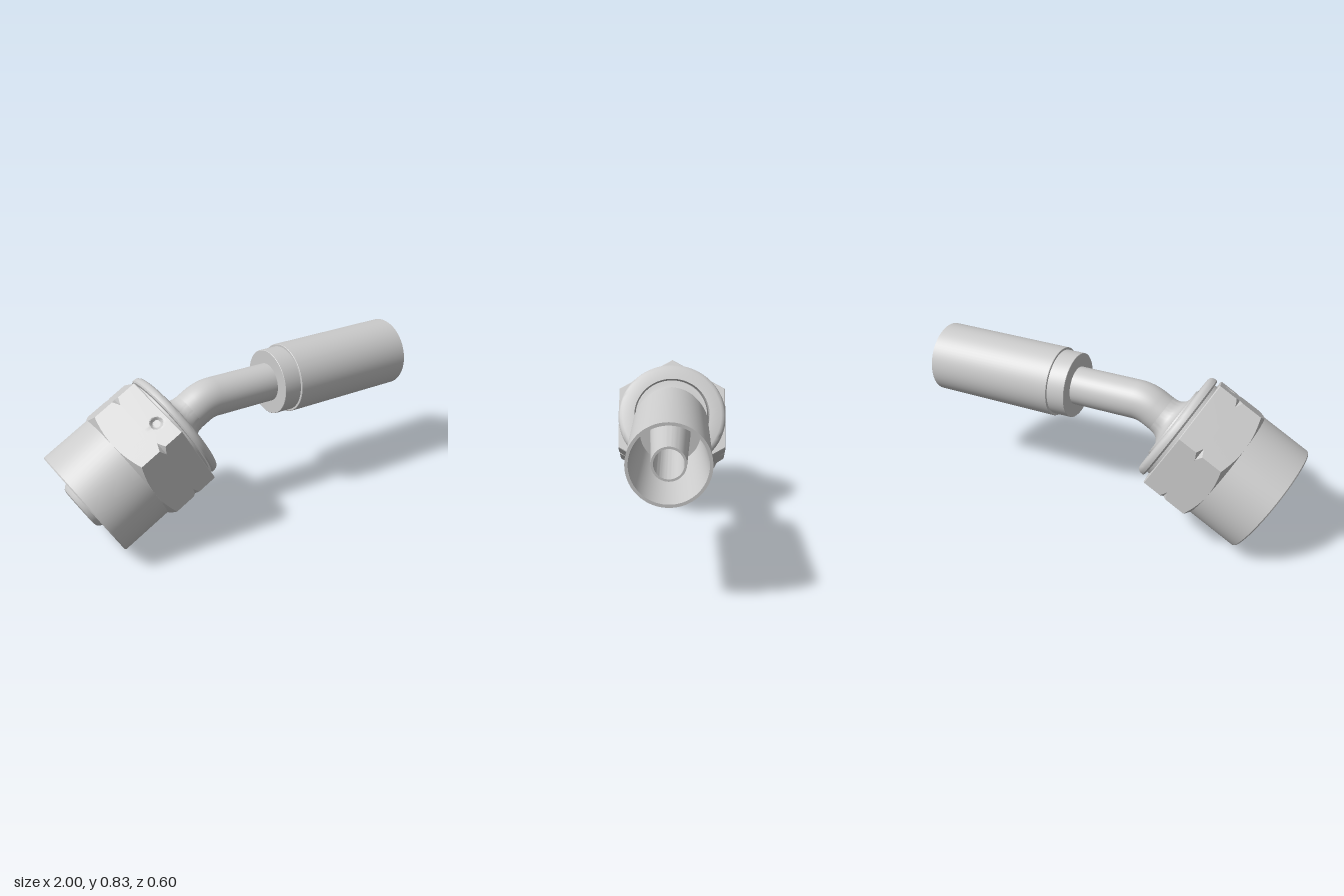
import * as THREE from 'three';
import { toCreasedNormals } from 'three/addons/utils/BufferGeometryUtils.js';

const material = new THREE.MeshStandardMaterial({ color: 0xcccccc, side: THREE.DoubleSide });
const CREASE = 0.5;
const TILT = Math.PI / 6;      // angle between nut axis and hose axis
const BORE = 0.065;

function add(parent, name, geometry) {
  const mesh = new THREE.Mesh(geometry, material);
  mesh.name = name;
  parent.add(mesh);
  return mesh;
}

// Turned part: [radius, distance along axis], outside going up then inside coming back
function turned(profile) {
  const points = profile.map(([r, t]) => new THREE.Vector2(r, t));
  return toCreasedNormals(new THREE.LatheGeometry(points, 72), CREASE);
}

// Hexagonal band: chamfered front corners, V groove nicking the corners, one dimple on a flat
function hexBand() {
  const columns = 360, flat = 0.3, groove = 0.43;
  const start = 0.27, end = 0.551, slope = 1.65, base = 0.292;
  const dimple = new THREE.Vector3(-0.235, 0.493, 0.2);
  const positions = [], index = [];
  let rows = 0;
  for (let i = 0; i <= columns; i++) {
    const a = (i / columns) * Math.PI * 2;
    const R = flat / Math.cos((a % (Math.PI / 3)) - Math.PI / 6);
    const cut = Math.max(0, R - 0.328);
    const profile = [
      [base, start], [R, start + (R - base) / slope],
      [R, groove - cut], [R - cut, groove], [R, groove + cut],
    ];
    for (let k = 0; k <= 16; k++) profile.push([R, 0.458 + k * 0.0045]);
    profile.push([R, end - 0.004], [R - 0.004, end], [0.26, end]);
    rows = profile.length;
    for (const [r, t] of profile) {
      const p = new THREE.Vector3(r * Math.cos(a), t, r * Math.sin(a));
      const depth = t < end - 0.006 ? Math.min(0.016, Math.max(0, 0.032 - p.distanceTo(dimple)) * 1.5) : 0;
      const k = 1 - depth / r;
      positions.push(p.x * k, p.y, p.z * k);
    }
  }
  for (let i = 0; i < columns; i++) {
    for (let j = 0; j < rows - 1; j++) {
      const p = i * rows + j, q = p + rows;
      index.push(p, p + 1, q, p + 1, q + 1, q);
    }
  }
  const geometry = new THREE.BufferGeometry();
  geometry.setAttribute('position', new THREE.Float32BufferAttribute(positions, 3));
  geometry.setIndex(index);
  return toCreasedNormals(geometry, CREASE);
}

export function createModel() {
  const group = new THREE.Group();
  group.name = 'angledHoseFitting';

  // Swivel nut and the stem nose, built along a tilted axis
  const tilted = new THREE.Group();
  tilted.name = 'swivelEnd';
  tilted.position.set(-0.85, 0.26, 0);
  tilted.rotation.z = TILT - Math.PI / 2;
  group.add(tilted);

  add(tilted, 'nutBody', turned([
    [0.27, 0], [0.295, 0], [0.3, 0.006], [0.3, 0.276], [0.275, 0.276],
    [0.275, 0.566], [0.294, 0.568], [0.3, 0.575], [0.3, 0.588], [0.296, 0.6],
    [0.288, 0.608], [0.275, 0.612], [0.21, 0.612], [0.21, 0.5], [0.25, 0.45],
    [0.25, 0.025], [0.27, 0],
  ]));
  add(tilted, 'nutHex', hexBand());
  add(tilted, 'stemNose', turned([
    [BORE, -0.03], [0.1, -0.03], [0.117, -0.025], [0.129, -0.012], [0.14, 0.012],
    [0.19, 0.11], [0.2, 0.15], [0.25, 0.2], [0.25, 0.45], [0.203, 0.5],
    [0.203, 0.605], [0.195, 0.62], [0.15, 0.62], [0.132, 0.624], [0.118, 0.634],
    [0.108, 0.648], [0.102, 0.667], [0.1, 0.69], [BORE, 0.69], [BORE, -0.03],
  ]));

  // Bent tube joining the nut to the hose end
  const corner = new THREE.Vector3(-0.166, 0.655, 0);
  const nutDir = new THREE.Vector3(-Math.cos(TILT), -Math.sin(TILT), 0);
  const hoseDir = new THREE.Vector3(1, 0, 0);
  const along = (dir, d) => corner.clone().addScaledVector(dir, d);
  const path = new THREE.CurvePath();
  path.add(new THREE.LineCurve3(along(nutDir, 0.11), along(nutDir, 0.05)));
  path.add(new THREE.QuadraticBezierCurve3(along(nutDir, 0.05), corner, along(hoseDir, 0.05)));
  path.add(new THREE.LineCurve3(along(hoseDir, 0.05), along(hoseDir, 0.39)));
  add(group, 'bentTube', new THREE.TubeGeometry(path, 100, 0.1, 48));
  add(group, 'tubeBore', new THREE.TubeGeometry(path, 100, BORE, 48));

  // Crimp shell with inner nipple
  const hoseEnd = add(group, 'crimpShell', turned([
    [BORE, 0.215], [0.168, 0.215], [0.17, 0.217], [0.17, 0.31], [0.18, 0.31],
    [0.182, 0.312], [0.182, 1], [0.168, 1], [0.143, 0.45], [0.095, 0.45],
    [0.075, 0.98], [BORE, 0.98], [BORE, 0.215],
  ]));
  hoseEnd.rotation.z = -Math.PI / 2;
  hoseEnd.position.y = corner.y;

  return group;
}
